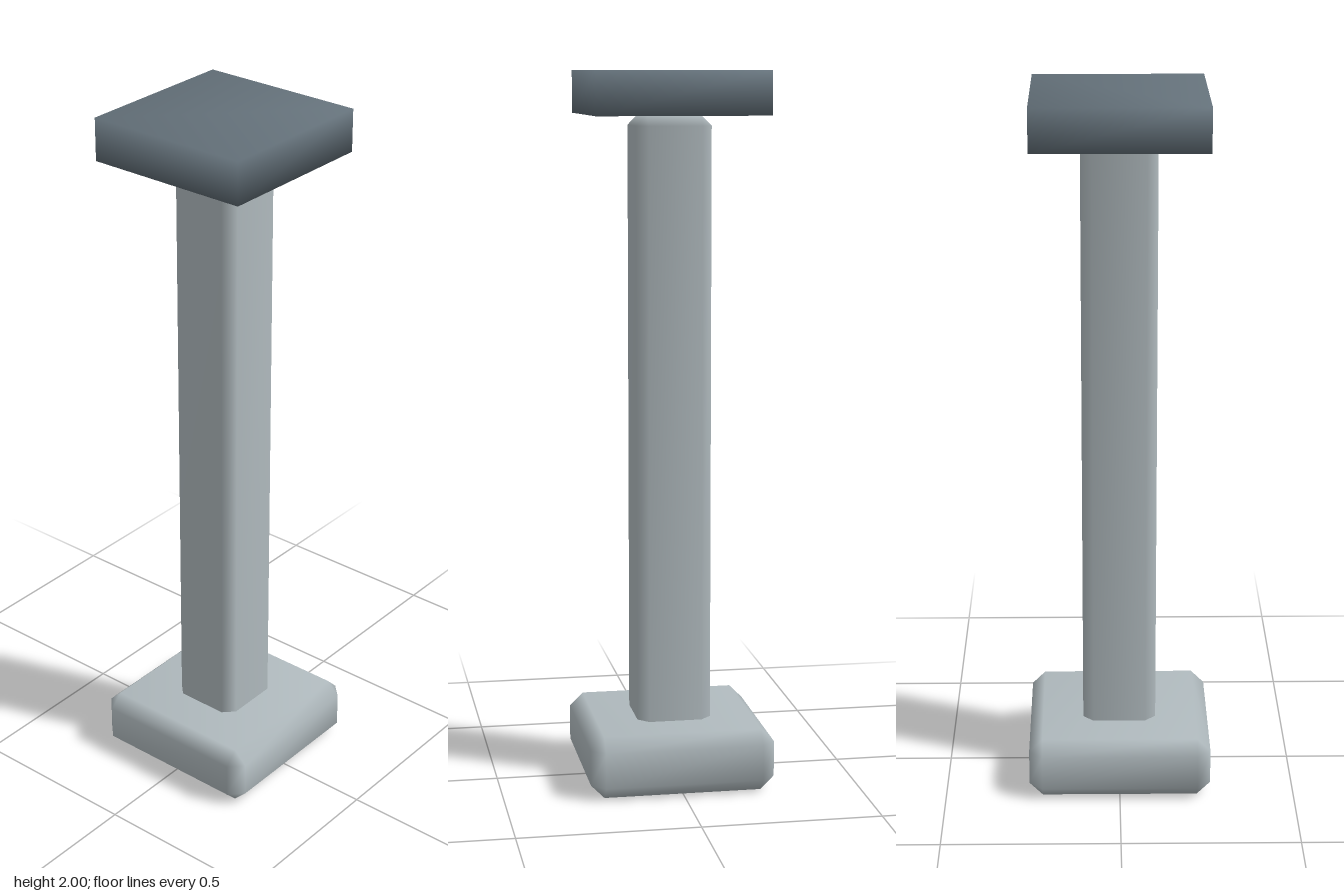
import * as THREE from 'three';
import { mergeVertices } from 'three/addons/utils/BufferGeometryUtils.js';

const lightGrey = new THREE.MeshStandardMaterial({ name: 'lightGrey', color: 0xb0babe });
const slate = new THREE.MeshStandardMaterial({ name: 'slate', color: 0x65727b });

// Square block with flat bevels on every edge and normals shared across them
function chamferedBlock(half, bottom, top, bevel) {
  const inner = half - bevel;
  const levels = [[bottom, inner], [bottom + bevel, half], [top - bevel, half], [top, inner]];
  const signs = [[1, 1], [1, -1], [-1, -1], [-1, 1]];
  const positions = [];
  const index = [];
  // Each ring has two points per corner; they coincide on the end rings
  for (const [y, reach] of levels) {
    signs.forEach(([sx, sz], i) => {
      const pair = [[sx * reach, sz * inner], [sx * inner, sz * reach]];
      if (i % 2 === 0) pair.reverse();
      for (const [x, z] of pair) positions.push(x, y, z);
    });
  }
  for (let r = 0; r < 3; r++) {
    for (let i = 0; i < 8; i++) {
      const a = r * 8 + i, b = r * 8 + (i + 1) % 8;
      // On end rings leave out the collapsed triangle at each corner
      const corner = i % 2 === 0;
      if (!(r === 0 && corner)) index.push(a, b + 8, b).push;
      if (!(r === 2 && corner)) index.push(a, a + 8, b + 8);
      if (r === 0 && corner) index.push();
    }
  }
  // End faces
  index.push(0, 2, 4, 0, 4, 6, 24, 28, 26, 24, 30, 28);
  const geometry = new THREE.BufferGeometry();
  geometry.setAttribute('position', new THREE.Float32BufferAttribute(positions, 3));
  // Rings run clockwise seen from above, so turn the triangles outward
  const centre = new THREE.Vector3(0, (bottom + top) / 2, 0);
  const [p, q, s] = [new THREE.Vector3(), new THREE.Vector3(), new THREE.Vector3()];
  for (let t = 0; t < index.length; t += 3) {
    [p, q, s].forEach((v, k) => v.fromArray(positions, index[t + k] * 3).sub(centre));
    if (q.clone().sub(p).cross(s.clone().sub(p)).dot(p) < 0) {
      [index[t + 1], index[t + 2]] = [index[t + 2], index[t + 1]];
    }
  }
  geometry.setIndex(index);
  const merged = mergeVertices(geometry);
  merged.computeVertexNormals();
  return merged;
}

// Plain box whose corners share smooth normals
function smoothBox(width, height, depth) {
  const box = new THREE.BoxGeometry(width, height, depth);
  box.deleteAttribute('normal');
  box.deleteAttribute('uv');
  const merged = mergeVertices(box);
  merged.computeVertexNormals();
  return merged;
}

export function createModel() {
  const group = new THREE.Group();
  group.name = 'column';
  const add = (name, geometry, material, y = 0) => {
    const mesh = new THREE.Mesh(geometry, material);
    mesh.name = name;
    mesh.position.y = y;
    group.add(mesh);
  };
  add('base', chamferedBlock(0.26, 0, 0.176, 0.038), lightGrey);
  add('shaft', chamferedBlock(0.105, 0.12, 1.88, 0.03), lightGrey);
  add('cap', smoothBox(0.478, 0.12, 0.478), slate, 1.94);
  return group;
}
